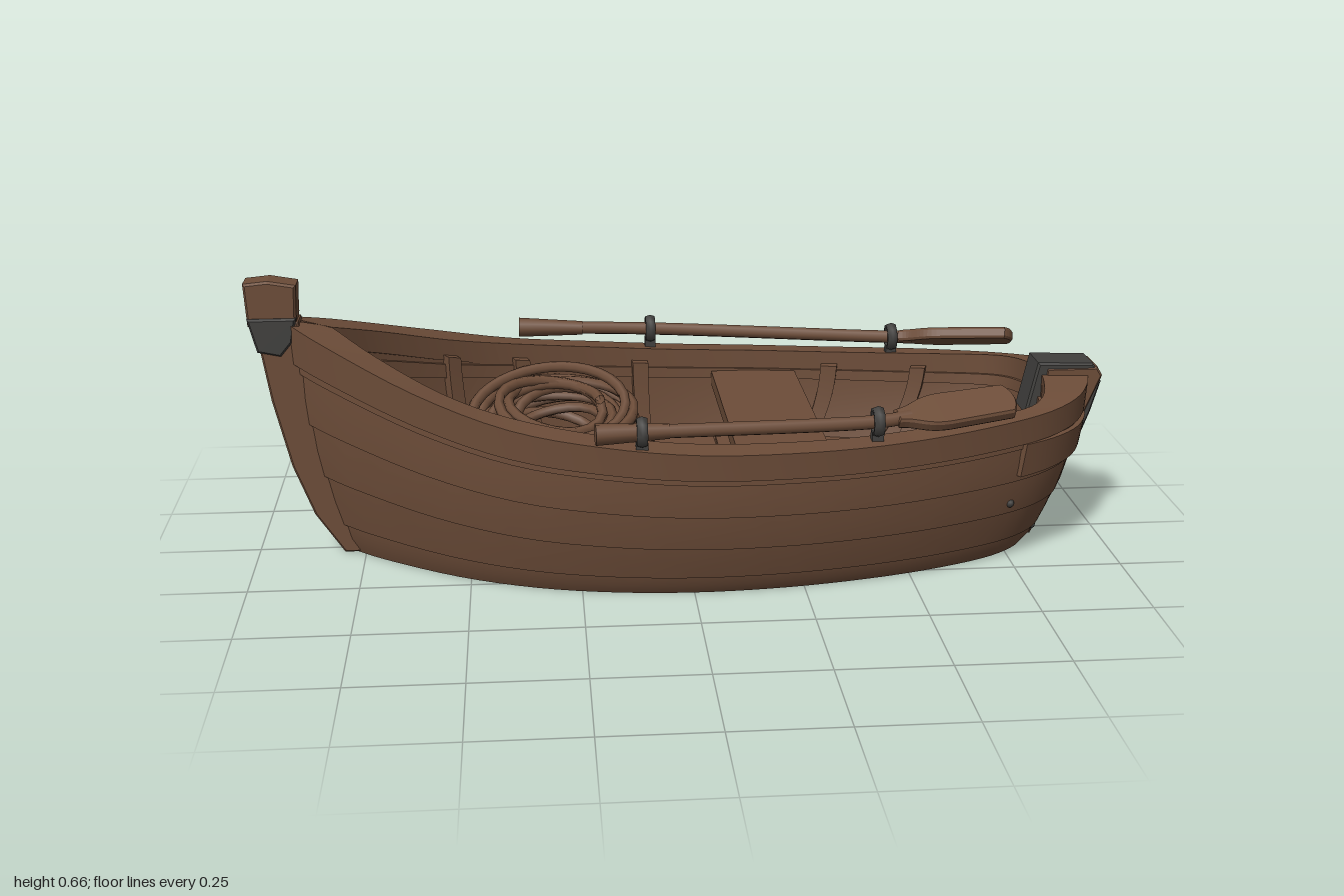
import * as THREE from 'three';
import { toCreasedNormals } from 'three/addons/utils/BufferGeometryUtils.js';

const V = (x, y, z) => new THREE.Vector3(x, y, z);
const curve = (pts) => new THREE.CatmullRomCurve3(pts.map((p) => V(...p)), false, 'catmullrom', 0.5);

// Half outlines running from bow to stern on the +z side: [x, y, z]
const rimOuter = curve([[-0.91, 0.565, 0], [-0.8, 0.525, 0.105], [-0.6, 0.455, 0.25], [-0.4, 0.4, 0.345],
  [-0.2, 0.372, 0.395], [0, 0.355, 0.413], [0.2, 0.35, 0.403], [0.4, 0.35, 0.37], [0.6, 0.357, 0.315],
  [0.78, 0.366, 0.238], [0.88, 0.376, 0.16], [0.93, 0.388, 0.075], [0.945, 0.4, 0]]);
const rimInner = curve([[-0.81, 0.535, 0], [-0.7, 0.49, 0.11], [-0.55, 0.435, 0.22], [-0.4, 0.4, 0.295],
  [-0.2, 0.372, 0.348], [0, 0.355, 0.368], [0.2, 0.35, 0.36], [0.4, 0.35, 0.328], [0.6, 0.357, 0.275],
  [0.76, 0.366, 0.222], [0.82, 0.376, 0.165], [0.845, 0.388, 0.08], [0.85, 0.4, 0]]);
const FLOOR = 0.125;
const flare = (v) => 1 - Math.pow(1 - v, 2.1);

function bottomAt(u) {
  const p = rimOuter.getPoint(u);
  return V(-0.8 + ((p.x + 0.91) / 1.855) * 1.63, 0, p.z * 0.81);
}
function outward(u) {
  const t = rimOuter.getTangent(u);
  return V(-t.z, 0, t.x).normalize();
}
// Point on the outer skin (u bow to stern, v keel to rim), pushed out by off
function outer(u, v, off = 0) {
  const top = rimOuter.getPoint(u), p = bottomAt(u).lerp(top, flare(v));
  p.y = top.y * v;
  return p.addScaledVector(outward(u), off);
}
// Point on the inner skin (v floor to rim), pushed inboard by off
function inner(u, v, off = 0) {
  const top = rimInner.getPoint(u), p = bottomAt(u).multiply(V(0.97, 1, 1.05)).lerp(top, flare(v));
  p.y = FLOOR + (top.y - FLOOR) * v;
  return p.addScaledVector(outward(u), -off);
}

// Full loop round the boat from a half-boat function
const around = (fn) => (a) => {
  const pts = fn(a < 0.5 ? a * 2 : 2 - a * 2);
  if (a > 0.5) pts.forEach((p) => { p.z *= -1; });
  return pts;
};

// Skin a series of cross-sections; closed sections get end caps
function sweep(section, n, closed = true, crease = 0.6) {
  const pos = [], idx = [];
  let m = 0;
  for (let i = 0; i <= n; i++) {
    const s = section(i / n);
    m = s.length;
    s.forEach((p) => pos.push(p.x, p.y, p.z));
  }
  for (let i = 0; i < n; i++) {
    for (let j = 0; j < (closed ? m : m - 1); j++) {
      const a = i * m + j, b = i * m + ((j + 1) % m);
      idx.push(a, a + m, b, b, a + m, b + m);
    }
  }
  if (closed) {
    for (let j = 1; j < m - 1; j++) idx.push(0, j, j + 1, n * m, n * m + j + 1, n * m + j);
  }
  const g = new THREE.BufferGeometry();
  g.setAttribute('position', new THREE.Float32BufferAttribute(pos, 3));
  g.setIndex(idx);
  return toCreasedNormals(g, crease);
}

// Side profile in x, y extruded across the keel line
function profile(pts, width) {
  const g = new THREE.ExtrudeGeometry(new THREE.Shape(pts.map((p) => new THREE.Vector2(...p))),
    { depth: width - 0.012, bevelThickness: 0.006, bevelSize: 0.005, bevelSegments: 1 });
  return g.translate(0, 0, -(width - 0.012) / 2);
}

export function createModel() {
  const boat = new THREE.Group();
  boat.name = 'rowingBoat';
  const wood = new THREE.MeshStandardMaterial({ color: 0x6d4d39, side: THREE.DoubleSide });
  wood.name = 'brown wood';
  const metal = new THREE.MeshStandardMaterial({ color: 0x41403e, side: THREE.DoubleSide });
  metal.name = 'dark iron';
  const add = (name, geo, mat = wood, parent = boat) => {
    const m = new THREE.Mesh(geo, mat);
    m.name = name;
    parent.add(m);
    return m;
  };

  // Overlapping hull planks, each standing slightly proud at its lower edge
  const seams = [0, 0.13, 0.35, 0.58, 0.8, 1];
  const levels = [];
  for (let i = 0; i < seams.length - 1; i++) {
    const a = seams[i], b = seams[i + 1];
    levels.push([a, i ? 0.007 : 0], [(a + b) / 2, 0.005], [b, 0.002]);
  }
  add('hullPlanks', sweep(around((u) => levels.map(([v, o]) => outer(u, v, o))), 96, false));
  add('innerHull', sweep(around((u) => [0, 0.2, 0.4, 0.6, 0.8, 1].map((v) => inner(u, v))), 96, false));

  // Flat bottom and the deck under the floor boards
  const loopShape = (fn) => {
    const pts = [];
    for (let i = 0; i < 96; i++) {
      const p = around((u) => [fn(u)])(i / 96)[0];
      pts.push(new THREE.Vector2(p.x, p.z));
    }
    return new THREE.ShapeGeometry(new THREE.Shape(pts)).rotateX(Math.PI / 2);
  };
  add('bottom', loopShape(bottomAt));
  add('subFloor', loopShape((u) => inner(u, 0)).translate(0, FLOOR, 0));

  // Rim cap and inner stringer
  add('gunwale', sweep(around((u) => {
    const o = outer(u, 1, 0.017), i = inner(u, 1, 0.004), low = outer(u, 0.84, 0.015);
    const il = i.clone().setY(i.y - 0.045);
    o.y += 0.004; i.y += 0.008;
    return [o, i, il, low];
  }), 96));
  add('stringer', sweep(around((u) => [inner(u, 0.72), inner(u, 0.72, 0.01), inner(u, 0.83, 0.01), inner(u, 0.83)]), 96));

  // Floor boards laid across the boat
  const halfWidth = (x) => {
    let best = 0, d = 9;
    for (let u = 0; u <= 1; u += 0.005) {
      const p = inner(u, 0.06);
      if (Math.abs(p.x - x) < d) { d = Math.abs(p.x - x); best = p.z; }
    }
    return best;
  };
  const cuts = [-0.76, -0.63, -0.49, -0.35, -0.19, -0.05, 0.11, 0.3, 0.46, 0.6, 0.71, 0.79];
  for (let i = 0; i < cuts.length - 1; i++) {
    const a = cuts[i] + 0.003, b = cuts[i + 1] - 0.003, wa = halfWidth(a), wb = halfWidth(b);
    const s = new THREE.Shape([[a, -wa], [b, -wb], [b, wb], [a, wa]].map((p) => new THREE.Vector2(...p)));
    add('floorBoard', new THREE.ExtrudeGeometry(s, { depth: 0.02, bevelEnabled: false })
      .rotateX(Math.PI / 2).translate(0, FLOOR + 0.01 + (i % 2) * 0.004, 0));
  }

  // Bench with a cleat under each end
  add('bench', new THREE.BoxGeometry(0.21, 0.035, 0.7)).position.set(0.207, 0.29, 0);
  for (const s of [1, -1]) add('benchCleat', new THREE.BoxGeometry(0.17, 0.045, 0.04)).position.set(0.207, 0.25, s * 0.33);

  // Ribs, stern planks and nails, mirrored on both sides
  for (const s of [1, -1]) {
    const side = (pts) => { pts.forEach((p) => { p.z *= s; }); return pts; };
    for (const k of [2, 3.1, 4.6, 7, 8.1]) {
      const a = (k - 0.1) / 12, b = (k + 0.1) / 12;
      add('rib', sweep((t) => {
        const v = t * 0.9;
        return side([inner(a, v), inner(a, v, 0.028), inner(b, v, 0.028), inner(b, v)]);
      }, 8));
    }
    add('sternPlank', sweep((t) => {
      const u = 0.735 + t * 0.24, v0 = 0.62, v1 = 0.84 - t * 0.06;
      return side([outer(u, v0, 0.003), outer(u, v0, 0.019), outer(u, v1, 0.019), outer(u, v1, 0.003)]);
    }, 12));
    for (const [u, v] of [[0.94, 0.06], [0.74, 0.42]]) {
      add('nail', new THREE.SphereGeometry(0.01, 8, 6), metal).position.copy(side([outer(u, v, 0.004)])[0]);
    }
  }

  // Stem with post head and iron band
  add('stem', profile([[-0.72, 0.006], [-0.797, 0.006], [-0.86, 0.1], [-0.905, 0.22], [-0.942, 0.38], [-0.97, 0.56],
    [-0.88, 0.56], [-0.85, 0.4], [-0.82, 0.2]], 0.075));
  add('stemHead', profile([[-0.985, 0.56], [-0.99, 0.65], [-0.94, 0.655], [-0.882, 0.645], [-0.885, 0.56]], 0.07));
  add('stemBand', profile([[-0.985, 0.57], [-0.885, 0.57], [-0.895, 0.52], [-0.92, 0.49], [-0.967, 0.5]], 0.085), metal);

  // Stern post with an iron cap folded over its top and a strap outside
  add('sternPost', profile([[0.76, 0.006], [0.835, 0.006], [0.9, 0.14], [0.95, 0.31], [0.985, 0.395], [0.975, 0.412],
    [0.86, 0.412], [0.845, 0.3], [0.82, 0.1]], 0.1));
  add('sternCap', profile([[0.815, 0.31], [0.84, 0.424], [0.965, 0.42], [0.975, 0.408], [0.86, 0.408], [0.835, 0.31]], 0.095), metal);
  add('sternStrap', profile([[0.915, 0.2], [0.935, 0.205], [0.97, 0.3], [0.99, 0.37], [0.965, 0.375], [0.945, 0.3]], 0.05), metal);

  // Oars bent along the rim: shaft, thick grip and tilted blade, held in iron rings
  const blade = new THREE.Shape();
  blade.moveTo(-0.28, -0.016);
  blade.bezierCurveTo(-0.24, -0.02, -0.23, -0.044, -0.17, -0.044);
  blade.lineTo(-0.02, -0.04);
  blade.quadraticCurveTo(0.008, 0, -0.02, 0.04);
  blade.lineTo(-0.17, 0.044);
  blade.bezierCurveTo(-0.23, 0.044, -0.24, 0.02, -0.28, 0.016);
  const bladeGeo = new THREE.ExtrudeGeometry(blade,
    { depth: 0.016, bevelThickness: 0.006, bevelSize: 0.004, bevelSegments: 1 }).translate(0, 0, -0.008);
  const makeOar = (name, grip, lockA, lockB, tip, tilt) => {
    const oar = new THREE.Group();
    oar.name = name;
    boat.add(oar);
    const dir = tip.clone().sub(lockB).normalize();
    const neck = tip.clone().addScaledVector(dir, -0.25);
    add('shaft', new THREE.TubeGeometry(new THREE.CatmullRomCurve3([grip, lockA, lockB, neck]), 32, 0.016, 8), wood, oar);
    const along = lockA.clone().sub(grip).normalize();
    const handle = add('grip', new THREE.CylinderGeometry(0.017, 0.024, 0.16, 10).translate(0, 0.08, 0), wood, oar);
    handle.position.copy(grip);
    handle.quaternion.setFromUnitVectors(V(0, 1, 0), along);
    const b = add('blade', bladeGeo, wood, oar);
    b.position.copy(tip);
    b.quaternion.setFromUnitVectors(V(1, 0, 0), dir);
    b.rotateX(tilt);
    for (const p of [lockA, lockB]) {
      const ring = add('oarlock', new THREE.TorusGeometry(0.028, 0.008, 6, 8).rotateY(Math.PI / 2).scale(1.7, 1, 1), metal, oar);
      ring.position.copy(p);
      add('oarlockPin', new THREE.BoxGeometry(0.026, 0.04, 0.022), metal, oar).position.set(p.x, p.y - 0.042, p.z);
    }
  };
  makeOar('nearOar', V(-0.22, 0.405, 0.408), V(-0.12, 0.405, 0.4), V(0.4, 0.398, 0.35), V(0.72, 0.418, 0.285), -1.1);
  makeOar('farOar', V(-0.38, 0.418, -0.405), V(-0.05, 0.41, -0.395), V(0.55, 0.4, -0.305), V(0.84, 0.422, -0.215), 1.1);

  // Coil of rope leaning on the side
  const turns = 13, rope = [];
  for (let i = 0; i <= turns * 16; i++) {
    const t = i / 16, a = t * Math.PI * 2;
    const r = 0.148 + 0.04 * Math.sin(t * 2.3) + 0.012 * Math.sin(a * 0.37 + 1);
    rope.push(V(Math.cos(a) * r * 1.06 + 0.012 * Math.sin(t * 1.9), 0.009 * t + 0.014 * Math.sin(a * 1.3 + t),
      Math.sin(a) * r * 0.8 + 0.012 * Math.cos(t * 2.7)));
  }
  const coil = add('ropeCoil', new THREE.TubeGeometry(new THREE.CatmullRomCurve3(rope), turns * 28, 0.013, 6));
  coil.position.set(-0.295, 0.195, -0.18);
  coil.rotation.x = 0.4;

  return boat;
}
